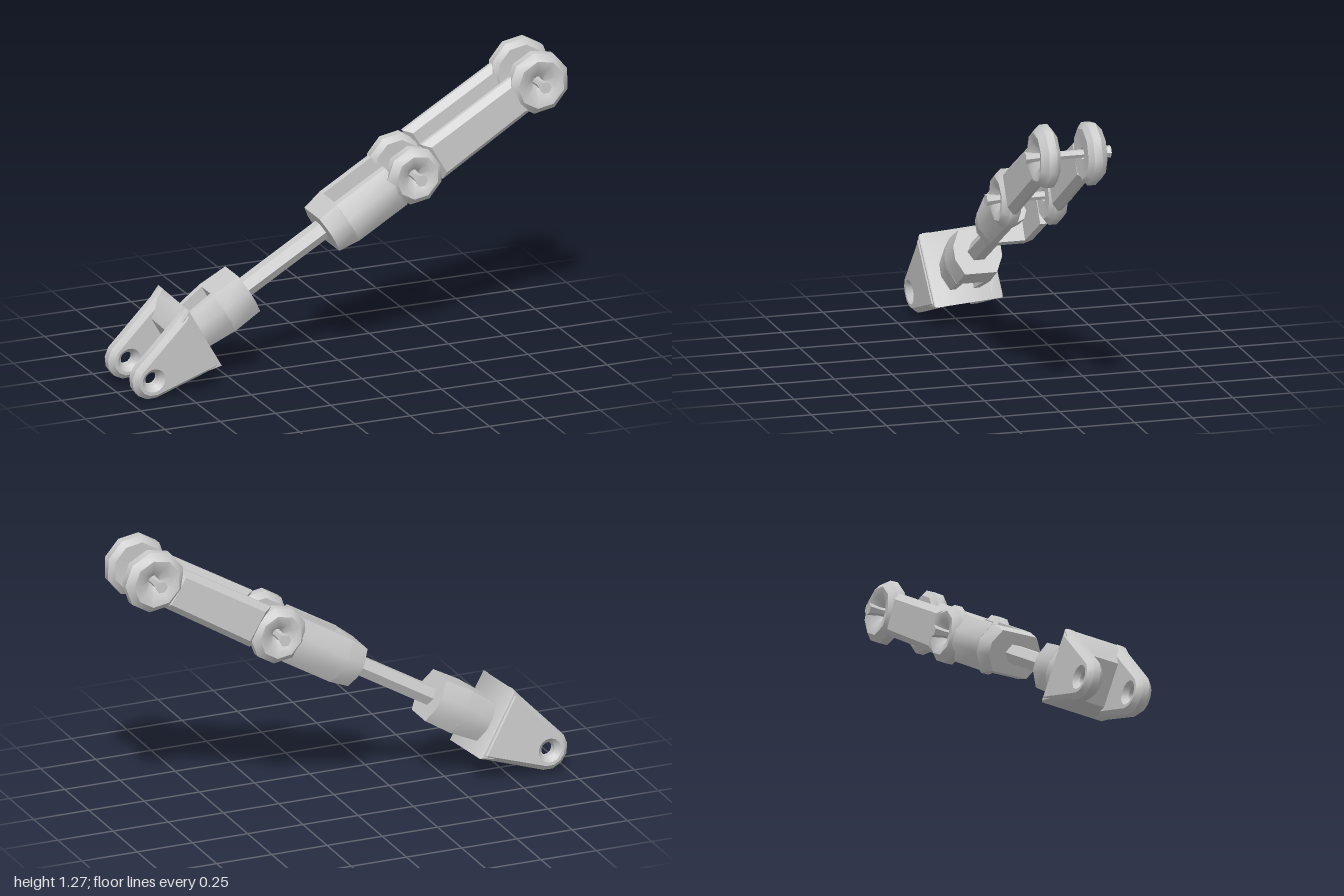
import * as THREE from 'three';
import { toCreasedNormals } from 'three/addons/utils/BufferGeometryUtils.js';

const material = new THREE.MeshStandardMaterial({ color: 0xcccccc });

// Everything is laid out along a straight axis (x), then tilted as a whole.
function add(parent, geometry, name) {
  const mesh = new THREE.Mesh(toCreasedNormals(geometry, 0.75), material);
  mesh.name = name;
  parent.add(mesh);
  return mesh;
}

const polygon = pts => new THREE.Shape(pts.map(p => new THREE.Vector2(p[0], p[1])));

// Cross-section of [z, y] points run along x from a to b, scaled at each end
function prism(pts, a, b, scaleA = 1, scaleB = 1) {
  const geo = new THREE.ExtrudeGeometry(polygon(pts.map(([z, y]) => [-z, y])), { depth: b - a, bevelEnabled: false });
  geo.rotateY(Math.PI / 2);
  const p = geo.attributes.position;
  for (let i = 0; i < p.count; i++) {
    const k = THREE.MathUtils.lerp(scaleA, scaleB, p.getX(i) / (b - a));
    p.setXYZ(i, p.getX(i) + a, p.getY(i) * k, p.getZ(i) * k);
  }
  return geo;
}

// Side outline in x and y, bevelled, centred on the given z
function plate(shape, thickness, bevel, z) {
  const geo = new THREE.ExtrudeGeometry(shape, {
    depth: thickness - 2 * bevel, bevelThickness: bevel, bevelSize: bevel,
    bevelOffset: -bevel, bevelSegments: 1, curveSegments: 8
  });
  return geo.translate(0, 0, z - thickness / 2 + bevel);
}

// Octagonal section, and one side of it outside a central gap
const octagon = (w, h) => [
  [w * 0.68, h], [w, h * 0.3], [w, -h * 0.3], [w * 0.68, -h],
  [-w * 0.68, -h], [-w, -h * 0.3], [-w, h * 0.3], [-w * 0.68, h]
];
const octagonSide = (w, h, gap, s) => [
  [s * gap, h], [s * w * 0.68, h], [s * w, h * 0.3],
  [s * w, -h * 0.3], [s * w * 0.68, -h], [s * gap, -h]
];

// Dished eye ring with its face towards side s
function eye(x, r, s) {
  const profile = [
    [0.026, 0.065], [r - 0.025, 0.06], [r, 0.08], [r, 0.115], [r - 0.03, 0.143],
    [r - 0.065, 0.137], [0.026, 0.105], [0.026, 0.065]
  ].map(p => new THREE.Vector2(p[0], p[1]));
  return new THREE.LatheGeometry(profile, 9).rotateX(s * Math.PI / 2).translate(x, 0, 0);
}

// Pin with heads that flare towards both ends
function pin(x) {
  const profile = [
    [0, -0.185], [0.027, -0.185], [0.018, -0.135], [0.018, 0.135], [0.027, 0.185], [0, 0.185]
  ].map(p => new THREE.Vector2(p[0], p[1]));
  return new THREE.LatheGeometry(profile, 6).rotateX(Math.PI / 2).translate(x, 0, 0);
}

export function createModel() {
  const model = new THREE.Group();
  model.name = 'turnbuckle';
  const axis = new THREE.Group();
  axis.name = 'tiltedAssembly';
  axis.position.y = 0.625;
  axis.rotation.z = THREE.MathUtils.degToRad(30.5);
  model.add(axis);

  const nearPin = 0.348, farPin = 0.998;

  // Long upper clevis
  const clevis = new THREE.Group();
  clevis.name = 'upperClevis';
  axis.add(clevis);
  add(clevis, prism(octagon(0.132, 0.1), -0.085, 0.01, 0.88, 1), 'yokeBridge');
  for (const s of [1, -1]) {
    add(clevis, prism(octagonSide(0.132, 0.1, 0.058, s), 0.005, 0.262), 'yokeArm');
    add(clevis, eye(nearPin, 0.125, s), 'nearEye');
    add(clevis, eye(farPin, 0.135, s), 'farEye');
    const bar = polygon([[0.44, -0.095], [0.91, -0.085], [0.91, 0.095], [0.44, 0.095]]);
    add(clevis, plate(bar, 0.068, 0.026, s * 0.097), 'sideBar');
  }
  add(clevis, pin(nearPin), 'nearPin');
  add(clevis, pin(farPin), 'farPin');

  // Threaded rod with a nut at each end
  const rod = new THREE.CylinderGeometry(0.044, 0.044, 0.82, 6).rotateZ(-Math.PI / 2).translate(-0.3, 0, 0);
  add(axis, rod, 'rod');
  for (const x of [0.08, -0.68]) {
    const nut = new THREE.CylinderGeometry(0.05, 0.05, 0.08, 8).rotateZ(Math.PI / 2).translate(x, 0, 0);
    add(axis, nut, 'rodNut');
  }

  // Lower socket with a window through it
  const socket = new THREE.Group();
  socket.name = 'lowerSocket';
  axis.add(socket);
  add(socket, prism(octagon(0.106, 0.1), -0.635, -0.5, 1, 0.96), 'socketBody');
  for (const s of [1, -1]) {
    add(socket, prism(octagonSide(0.106, 0.1, 0.045, s), -0.8, -0.63, 0.85, 1), 'socketArm');
  }

  // Short lower fork, slightly rolled about the axis
  const fork = new THREE.Group();
  fork.name = 'lowerFork';
  fork.rotation.x = 0.075;
  axis.add(fork);
  const cross = polygon([[-0.77, -0.149], [-0.77, 0.172], [-0.81, 0.155], [-0.88, 0.1], [-0.88, -0.09], [-0.83, -0.13]]);
  add(fork, plate(cross, 0.3, 0.006, 0), 'forkCrossbar');

  const ex = -1.05, r = 0.09, hole = 0.03;
  const cheek = new THREE.Shape();
  cheek.moveTo(-0.77, -0.149);
  cheek.lineTo(-0.77, 0.174);
  cheek.lineTo(-0.81, 0.16);
  for (let i = 0; i <= 5; i++) {
    const a = THREE.MathUtils.degToRad(115 + i * 28);
    cheek.lineTo(ex + r * Math.cos(a), r * Math.sin(a));
  }
  cheek.closePath();
  cheek.holes.push(new THREE.Path().absarc(ex, 0, hole, 0, Math.PI * 2, true));
  for (const s of [1, -1]) add(fork, plate(cheek, 0.075, 0.022, s * 0.118), 'forkCheek');

  return model;
}
